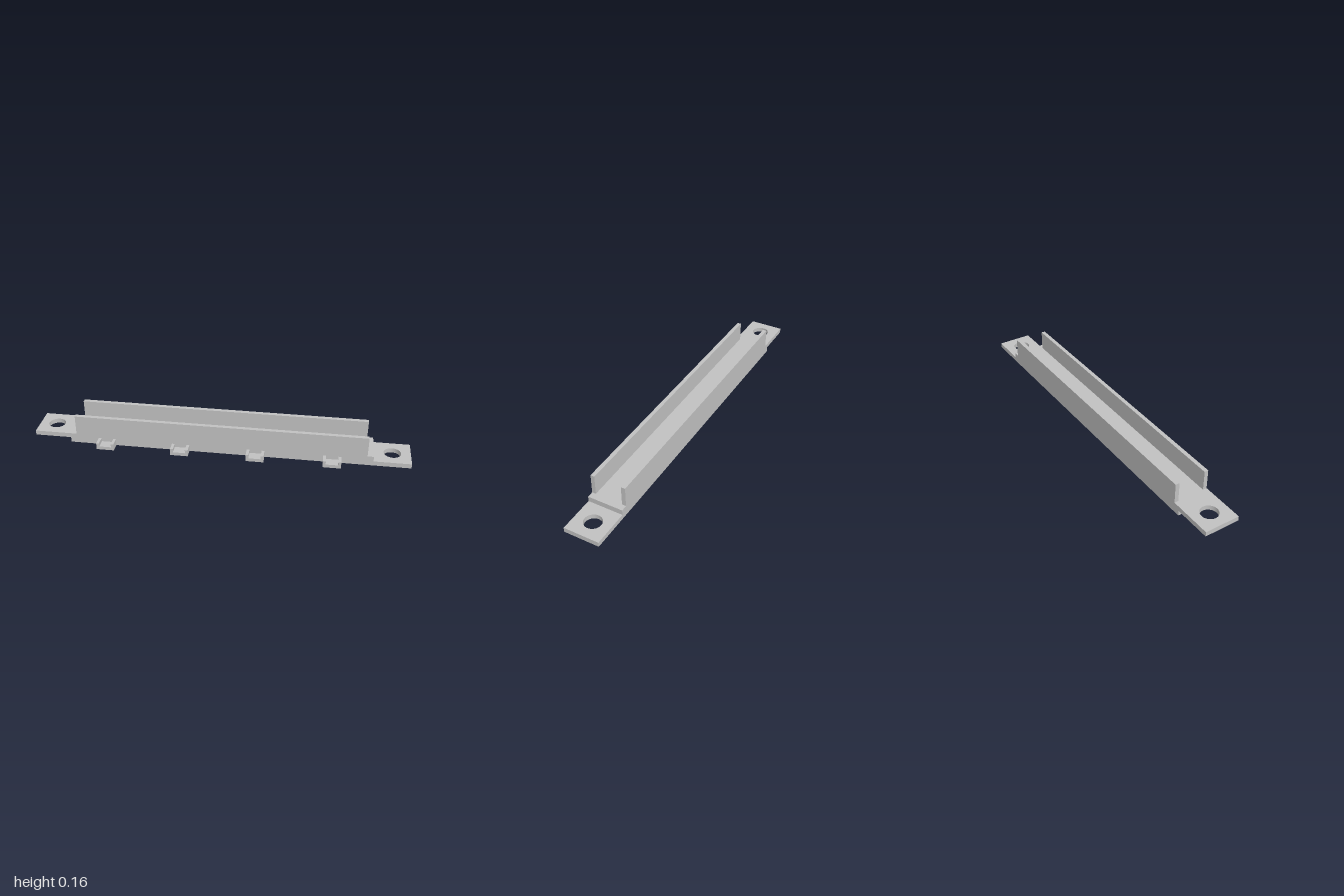
import * as THREE from 'three';

const BACK = -0.12, FRONT = 0.067, MID_Z = (BACK + FRONT) / 2;
const BASE_X = 0.805, BASE_TOP = 0.053;

export function createModel() {
  const model = new THREE.Group();
  const grey = new THREE.MeshStandardMaterial({ color: 0xc0c0c0 });
  grey.name = 'plain grey';

  const add = (name, geometry) => {
    const mesh = new THREE.Mesh(geometry, grey);
    mesh.name = name;
    model.add(mesh);
    return mesh;
  };
  // Box given by its minimum and maximum corners
  const box = (name, x0, x1, y0, y1, z0, z1) =>
    add(name, new THREE.BoxGeometry(x1 - x0, y1 - y0, z1 - z0))
      .position.set((x0 + x1) / 2, (y0 + y1) / 2, (z0 + z1) / 2);

  // Channel: floor slab and two upright walls
  box('channelFloor', -BASE_X, BASE_X, 0, BASE_TOP, BACK, FRONT);
  box('backWall', -0.772, 0.772, BASE_TOP, 0.16, BACK, -0.098);
  box('frontWall', -0.772, 0.772, BASE_TOP, 0.16, 0.046, FRONT);

  // End tabs with a screw hole; one sits high and one low so that units overlap
  const tab = (name, x0, x1, holeX, y0, y1) => {
    const shape = new THREE.Shape([
      new THREE.Vector2(x0, -FRONT), new THREE.Vector2(x1, -FRONT),
      new THREE.Vector2(x1, -BACK), new THREE.Vector2(x0, -BACK),
    ]);
    const hole = new THREE.Path();
    hole.absarc(holeX, -MID_Z, 0.045, 0, Math.PI * 2, true);
    shape.holes.push(hole);
    const geometry = new THREE.ExtrudeGeometry(shape, { depth: y1 - y0, bevelEnabled: false, curveSegments: 32 });
    geometry.rotateX(-Math.PI / 2).translate(0, y0, 0);
    add(name, geometry);
  };
  tab('upperTab', -1, -BASE_X, -0.908, 0.028, BASE_TOP);
  tab('lowerTab', BASE_X, 1, 0.905, 0, 0.025);

  // Small U-shaped cable clips along the front
  const half = 0.047, inner = 0.032, rim = 0.037, floor = 0.018;
  const clipShape = new THREE.Shape([
    [-half, 0], [half, 0], [half, rim], [inner, rim],
    [inner, floor], [-inner, floor], [-inner, rim], [-half, rim],
  ].map(([x, y]) => new THREE.Vector2(x, y)));
  const clipGeometry = new THREE.ExtrudeGeometry(clipShape, { depth: 0.12 - FRONT, bevelEnabled: false });
  for (let i = 0; i < 4; i++) {
    add('clip' + (i + 1), clipGeometry).position.set(-0.603 + i * 0.399, 0, FRONT);
  }

  return model;
}
